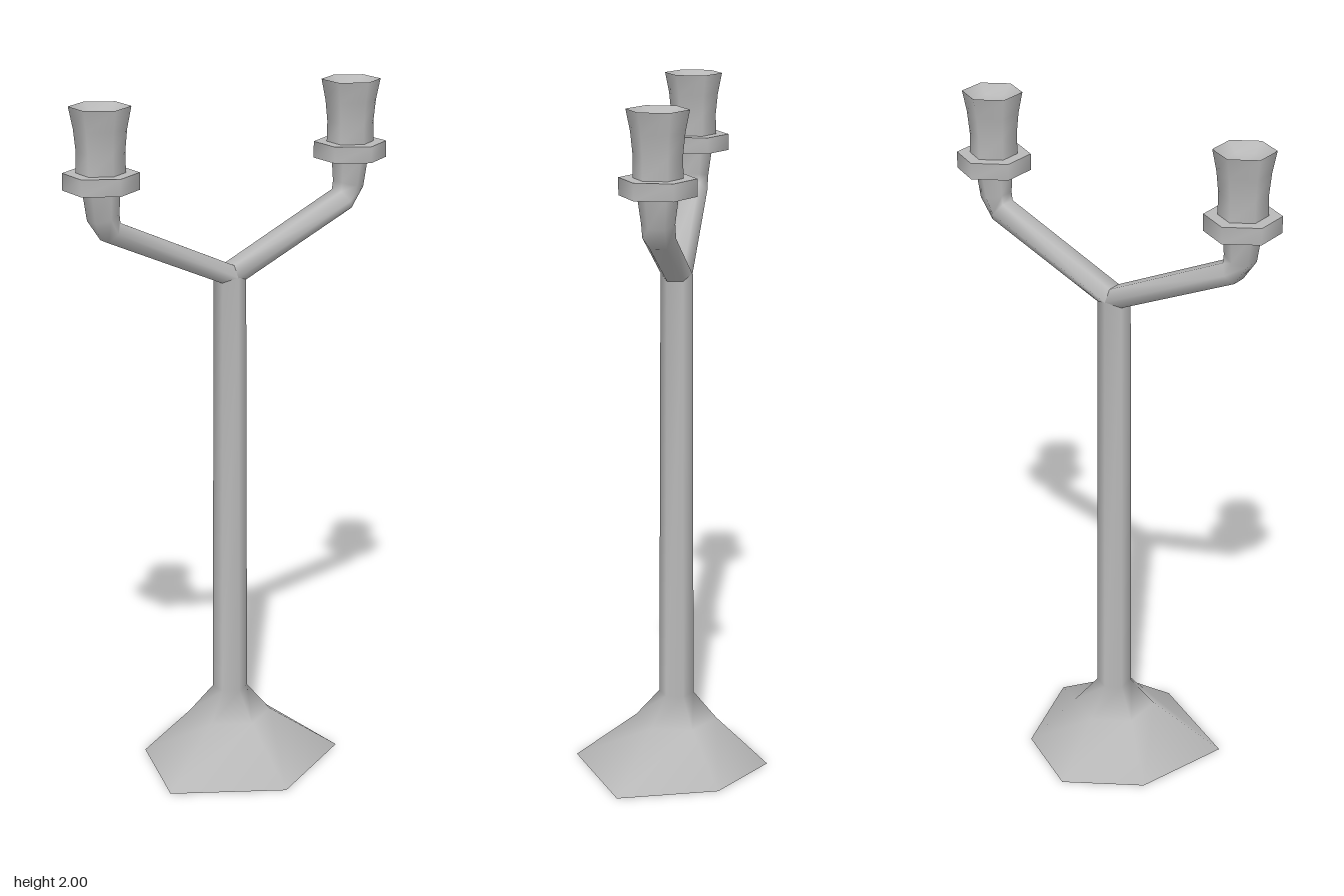
import * as THREE from 'three';
import { toCreasedNormals } from 'three/addons/utils/BufferGeometryUtils.js';

const SIDES = 6;
const AXIS_Z = -0.017; // the stem sits slightly behind the origin
const angles = Array.from({ length: SIDES }, (_, i) => (i * Math.PI * 2) / SIDES);

// Horizontal six-sided ring with corners on the z axis
const flatRing = (r, y) => angles.map((a) => [r * Math.sin(a), y, r * Math.cos(a)]);

// Ring spanned between an inner and an outer point of a bent tube
function bentRing([ix, iy], [ox, oy], halfZ) {
  const k = 1 / Math.sin(Math.PI / 3);
  return angles.map((a) => {
    const s = (Math.sin(a) * k) / 2;
    return [(ix + ox) / 2 + (ox - ix) * s, (iy + oy) / 2 + (oy - iy) * s, halfZ * Math.cos(a)];
  });
}

// Skin a list of rings, sharing vertices so the normals are smooth
function loft(rings) {
  const index = [];
  for (let j = 0; j < rings.length - 1; j++) {
    for (let i = 0; i < SIDES; i++) {
      const a = j * SIDES + i;
      const b = j * SIDES + ((i + 1) % SIDES);
      index.push(a, b, b + SIDES, a, b + SIDES, a + SIDES);
    }
  }
  const geo = new THREE.BufferGeometry();
  geo.setAttribute('position', new THREE.Float32BufferAttribute(rings.flat(2), 3));
  geo.setIndex(index);
  geo.computeVertexNormals();
  return geo;
}

export function createModel() {
  const metal = new THREE.MeshStandardMaterial({ color: 0xb8b8b8, side: THREE.DoubleSide });
  metal.name = 'grey metal';

  const model = new THREE.Group();
  model.name = 'candelabra';
  const add = (parent, name, geo) => {
    const mesh = new THREE.Mesh(geo, metal);
    mesh.name = name;
    parent.add(mesh);
    return mesh;
  };

  // Hollow, uneven six-sided foot flowing into the stem
  const footOutline = [
    [0, 0.285], [0.295, 0.12], [0.21, -0.165], [0, -0.29], [-0.21, -0.165], [-0.295, 0.12],
  ].map(([x, z]) => [x, 0, z - AXIS_Z]);
  const stand = add(model, 'footAndStem', loft([
    footOutline, flatRing(0.12, 0.14), flatRing(0.051, 0.22), flatRing(0.046, 1.484),
  ]));
  stand.position.z = AXIS_Z;

  // Two identical branches, each with a drip plate and a candle cup
  for (const side of ['left', 'right']) {
    const branch = new THREE.Group();
    branch.name = `${side}Branch`;
    branch.position.z = AXIS_Z;
    if (side === 'right') branch.rotation.y = Math.PI;
    model.add(branch);

    add(branch, `${side}Arm`, loft([
      bentRing([0, 1.516], [0, 1.452], 0.045),
      bentRing([0.365, 1.683], [0.403, 1.632], 0.045),
      bentRing([0.368, 1.708], [0.443, 1.69], 0.045),
      bentRing([0.366, 1.78], [0.455, 1.78], 0.056),
    ]));

    const plate = add(branch, `${side}DripPlate`, toCreasedNormals(
      new THREE.CylinderGeometry(0.104, 0.104, 0.047, SIDES), 1.1));
    plate.position.set(0.41, 1.798, 0);

    // Flared cup with a shallow hollow top
    const cup = add(branch, `${side}CandleCup`, toCreasedNormals(loft([
      flatRing(0.067, 1.82), flatRing(0.066, 1.88), flatRing(0.072, 1.94),
      flatRing(0.084, 2), flatRing(0.05, 1.975), flatRing(0.001, 1.965),
    ]), 1.1));
    cup.position.x = 0.41;
  }

  return model;
}
